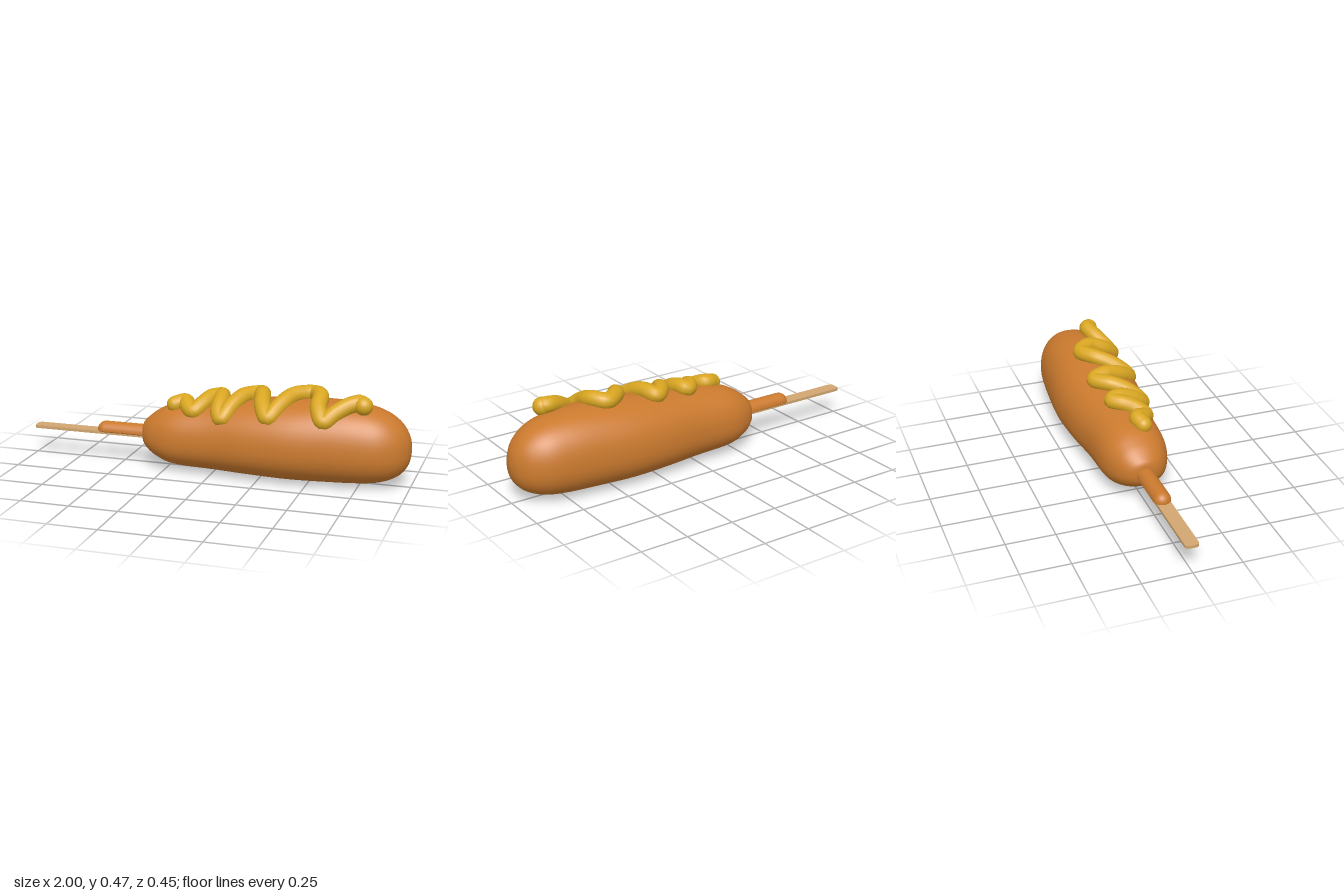
import * as THREE from 'three';

// Body stations: x, half width, bottom, top
const STATIONS = [
  [-0.39, 0, 0.17, 0.17], [-0.385, 0.05, 0.125, 0.22], [-0.36, 0.095, 0.09, 0.25],
  [-0.3, 0.14, 0.05, 0.295], [-0.2, 0.172, 0.018, 0.335], [0, 0.185, 0.01, 0.36],
  [0.2, 0.213, 0.004, 0.385], [0.4, 0.225, 0, 0.405], [0.6, 0.21, 0.004, 0.412],
  [0.75, 0.192, 0.01, 0.402], [0.86, 0.168, 0.025, 0.375], [0.94, 0.12, 0.06, 0.325],
  [0.985, 0.06, 0.115, 0.26], [1, 0, 0.19, 0.19],
];
const POWER = 2.2; // slightly squared cross-section

const spline = (pts) => new THREE.CatmullRomCurve3(pts, false, 'catmullrom');
const lowCurve = spline(STATIONS.map(([x, w, b]) => new THREE.Vector3(x, w, b)));
const topCurve = spline(STATIONS.map(([x, w, , t]) => new THREE.Vector3(x, w, t)));

function sectionAt(u) {
  const a = lowCurve.getPoint(u), b = topCurve.getPoint(u);
  return { x: a.x, w: Math.max(a.y, 0), bottom: a.z, top: b.z, mid: a.z + 0.44 * (b.z - a.z) };
}

// Height of the body's upper surface above a point (x, z)
function surfaceY(x, z) {
  let lo = 0, hi = 1;
  for (let i = 0; i < 30; i++) {
    const m = (lo + hi) / 2;
    if (sectionAt(m).x < x) lo = m; else hi = m;
  }
  const s = sectionAt(lo);
  const k = Math.min(Math.abs(z) / s.w, 1);
  return s.mid + (s.top - s.mid) * Math.pow(1 - Math.pow(k, POWER), 1 / POWER);
}

// Smooth skin over rings running along x
function bodyGeometry(rings = 72, sides = 48) {
  const pos = [], idx = [];
  const bend = (v) => Math.sign(v) * Math.pow(Math.abs(v), 2 / POWER);
  for (let i = 0; i <= rings; i++) {
    const s = sectionAt(i / rings);
    for (let j = 0; j < sides; j++) {
      const a = (j / sides) * Math.PI * 2;
      const c = bend(Math.cos(a)), h = bend(Math.sin(a));
      pos.push(s.x, s.mid + h * (h > 0 ? s.top - s.mid : s.mid - s.bottom), c * s.w);
      if (i < rings) {
        const p = i * sides + j, q = i * sides + ((j + 1) % sides);
        idx.push(p, p + sides, q, q, p + sides, q + sides);
      }
    }
  }
  const g = new THREE.BufferGeometry();
  g.setAttribute('position', new THREE.Float32BufferAttribute(pos, 3));
  g.setIndex(idx);
  g.computeVertexNormals();
  // Pole normals point straight out along x
  const n = g.attributes.normal;
  for (let j = 0; j < sides; j++) {
    n.setXYZ(j, -1, 0, 0);
    n.setXYZ(rings * sides + j, 1, 0, 0);
  }
  return g;
}

// Flat stick with a rounded free end
function stickGeometry() {
  const x0 = -1, x1 = -0.3, w = 0.035, r = 0.022;
  const s = new THREE.Shape();
  s.moveTo(x1, -w);
  s.lineTo(x1, w);
  s.lineTo(x0 + r, w);
  s.quadraticCurveTo(x0, w, x0, w - r);
  s.lineTo(x0, -w + r);
  s.quadraticCurveTo(x0, -w, x0 + r, -w);
  const g = new THREE.ExtrudeGeometry(s, { depth: 0.015, bevelEnabled: false, curveSegments: 6 });
  return g.rotateX(-Math.PI / 2).translate(0, 0.138, -0.003);
}

export function createModel() {
  const batter = new THREE.MeshStandardMaterial({ color: 0xcb7a2e });
  batter.name = 'fried batter';
  const mustard = new THREE.MeshStandardMaterial({ color: 0xd9a621 });
  mustard.name = 'mustard yellow';
  const wood = new THREE.MeshStandardMaterial({ color: 0xd2a770 });
  wood.name = 'pale wood';

  const model = new THREE.Group();
  model.name = 'cornDog';
  const add = (parent, name, geometry, material) => {
    const m = new THREE.Mesh(geometry, material);
    m.name = name;
    parent.add(m);
    return m;
  };

  add(model, 'batterBody', bodyGeometry(), batter);
  add(model, 'stick', stickGeometry(), wood);

  // Batter sleeve on the stick: capsule with its underside flattened
  const sleeve = new THREE.CapsuleGeometry(0.045, 0.26, 10, 24, 8).rotateZ(Math.PI / 2);
  const p = sleeve.attributes.position;
  for (let i = 0; i < p.count; i++) {
    const y = p.getY(i);
    p.setY(i, y > 0 ? y * 1.0 : y * 0.25);
  }
  sleeve.computeVertexNormals();
  add(model, 'batterSleeve', sleeve.translate(-0.475, 0.155, -0.004), batter);

  // Mustard zigzag, drawn in plan (x, z) and laid on the body
  const plan = [
    [-0.205, 0.05], [-0.155, 0.035], [-0.125, 0.075], [-0.09, 0.1], [-0.055, 0.06],
    [-0.02, -0.01], [0.015, -0.04], [0.035, 0.02], [0.045, 0.11], [0.07, 0.14],
    [0.11, 0.07], [0.16, -0.02], [0.215, -0.065], [0.245, 0.01], [0.27, 0.1],
    [0.31, 0.153], [0.355, 0.09], [0.41, 0], [0.49, -0.05], [0.54, 0.01],
    [0.55, 0.1], [0.585, 0.153], [0.64, 0.12], [0.7, 0.085], [0.75, 0.07], [0.77, 0.085],
  ];
  const planCurve = new THREE.CatmullRomCurve3(plan.map(([x, z]) => new THREE.Vector3(x, 0, z)));
  const path = new THREE.CatmullRomCurve3(planCurve.getPoints(120).map((v) => {
    const lift = 0.02 - 0.2 * Math.max(v.z, 0) + 0.04 * Math.max(v.x - 0.6, 0) * 5;
    return new THREE.Vector3(v.x, surfaceY(v.x, v.z) + lift, v.z);
  }));
  const sauce = new THREE.Group();
  sauce.name = 'mustard';
  model.add(sauce);
  const radius = 0.042;
  add(sauce, 'mustardZigzag', new THREE.TubeGeometry(path, 260, radius, 16), mustard);
  for (const [name, t, r] of [['mustardStart', 0, radius], ['mustardEnd', 1, 0.046]]) {
    add(sauce, name, new THREE.SphereGeometry(r, 20, 14), mustard).position.copy(path.getPoint(t));
  }
  return model;
}
